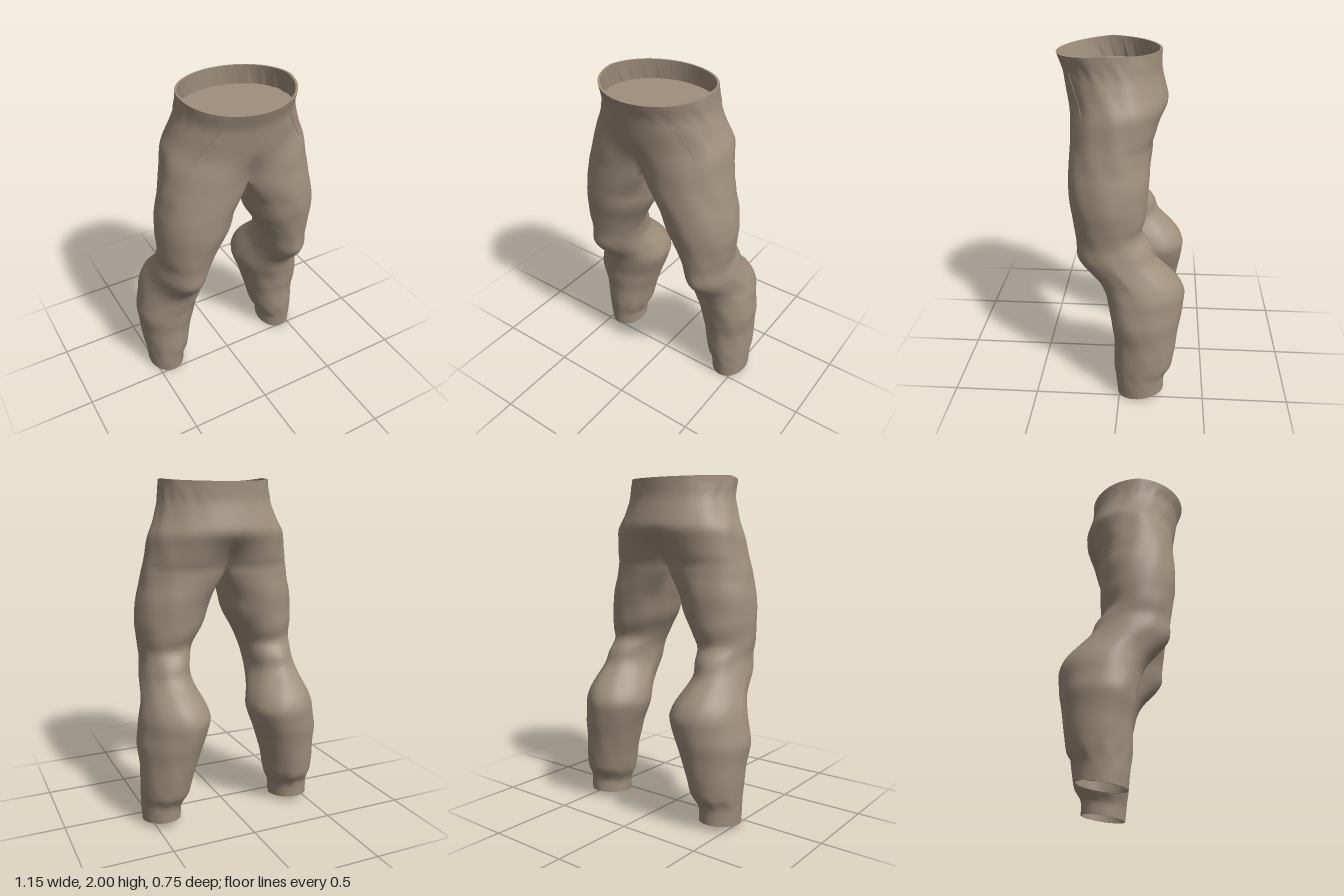
import * as THREE from 'three';
import { mergeVertices } from 'three/addons/utils/BufferGeometryUtils.js';

// Cross-sections: y, right outer x, right inner x, left outer x, left inner x, front z, back z
const SECTIONS = [
  [0.00, 0.530, 0.300, 0.555, 0.330, 0.010, -0.262],
  [0.10, 0.535, 0.298, 0.558, 0.325, 0.018, -0.265],
  [0.13, 0.538, 0.275, 0.558, 0.300, 0.022, -0.268],
  [0.19, 0.548, 0.256, 0.567, 0.282, 0.032, -0.308],
  [0.36, 0.560, 0.215, 0.562, 0.240, 0.030, -0.335],
  [0.50, 0.580, 0.170, 0.572, 0.195, 0.038, -0.368],
  [0.65, 0.550, 0.122, 0.555, 0.145, 0.072, -0.384],
  [0.72, 0.530, 0.142, 0.535, 0.162, 0.115, -0.350],
  [0.80, 0.505, 0.175, 0.520, 0.195, 0.195, -0.275],
  [0.87, 0.490, 0.192, 0.505, 0.210, 0.246, -0.205],
  [0.97, 0.475, 0.175, 0.490, 0.205, 0.250, -0.162],
  [1.02, 0.478, 0.160, 0.492, 0.190, 0.258, -0.120],
  [1.17, 0.487, 0.076, 0.512, 0.100, 0.285, -0.145],
  [1.24, 0.485, 0.040, 0.505, 0.075, 0.291, -0.152],
  [1.35, 0.477, 0.023, 0.492, 0.042, 0.298, -0.158],
  [1.50, 0.440, 0.000, 0.455, 0.000, 0.295, -0.160],
  [1.70, 0.405, 0.000, 0.420, 0.000, 0.315, -0.256],
  [1.88, 0.322, 0.000, 0.342, 0.000, 0.345, -0.210],
  [2.00, 0.320, 0.000, 0.335, 0.000, 0.380, -0.210],
];
const CROTCH = 1.5, STEP = 0.025, RINGS = 80, OUTER = 36, INNER = 14, N = OUTER + INNER;
const { lerp, smoothstep } = THREE.MathUtils;
const bump = (y, at, width) => Math.exp(-(((y - at) / width) ** 2));

function rawSection(y) {
  let i = 0;
  while (i < SECTIONS.length - 2 && y > SECTIONS[i + 1][0]) i++;
  const a = SECTIONS[i], b = SECTIONS[i + 1];
  return a.map((v, k) => lerp(v, b[k], (y - a[0]) / (b[0] - a[0])));
}

// Averages neighbouring heights so the outline bends softly
function section(y) {
  const d = Math.max(0, Math.min(0.025, y, 2 - y, Math.abs(y - CROTCH)));
  const below = rawSection(y - d), above = rawSection(y + d);
  return rawSection(y).map((v, k) => (2 * v + below[k] + above[k]) / 4);
}

// Point on the cloth. u 0..1 runs front, outside, back; u 1..2 returns along the inner leg.
function clothPoint(side, u, y) {
  const row = section(y);
  const [xo, xi] = side < 0 ? [row[1], row[2]] : [row[3], row[4]];
  const zf = row[5], zb = row[6];
  const xc = (xo + xi) / 2, rx = (xo - xi) / 2, zc = (zf + zb) / 2, rz = (zf - zb) / 2;
  const round = 1 - smoothstep(y, 1.28, CROTCH);    // 1 = full leg tube, 0 = half of the hips
  const legness = 1 - smoothstep(y, CROTCH - 0.02, 1.74);
  const inner = u > 1;
  const a = inner ? -Math.PI * (0.75 + (u - 1) / 2) : Math.PI * (0.75 - 1.5 * u);
  const ex = xc + rx * Math.cos(a);
  // Kneecap narrows towards the front, and the outer calf sits further forward
  const s = Math.sin(a);
  const knee = s > 0 ? s ** (1 + 0.45 * bump(y, 0.8, 0.1)) : s;
  const ez = zc + rz * knee + 0.05 * bump(y, 0.55, 0.2) * (0.5 + 0.5 * Math.cos(a)) ** 2;
  let dx = xi, dz;
  const t = Math.PI * (0.5 - u);
  const endZ = rz * lerp(1, Math.SQRT1_2, legness);
  if (inner) dz = zc + endZ * (2 * (u - 1) - 1);
  else {
    const end = lerp(0, xc - rx * Math.SQRT1_2, legness);
    dx = lerp(xo * Math.cos(t), ex, legness);
    dx = xi + (dx - end) * (xo - xi) / (xo - end);
    dz = lerp(zc + rz * Math.sin(t), ez, legness);
  }
  let x = lerp(dx, ex, round), z = lerp(dz, ez, round);

  // Soft diagonal folds, strongest behind the knee, plus gathers at waist and cuffs
  const p = side * 0.9;
  let f = 0.012 * Math.sin(11 * y + 2 * a + p) * Math.sin(5 * y - 3 * a + 2 * p);
  f += 0.012 * Math.sin(23 * y - 4 * a + p) * Math.sin(9 * y + 5 * a - p);
  f += 0.025 * bump(y, 1.0, 0.14) * Math.sin(38 * y + 2 * a * side) * (0.5 - 0.5 * s);
  f += 0.025 * bump(y, 0.15, 0.05) * Math.sin(9 * a + p);
  f += 0.016 * bump(y, 1.9, 0.03) * Math.sin(16 * a + p);
  f *= inner ? round : lerp(Math.sin(Math.PI * u), 1, round);
  f *= Math.min(1, y / 0.08, (2 - y) / 0.05);
  x += (x - xc * round) * f;
  z += (z - zc) * f;

  // Hem lifts at the back, waist dips at the front
  const back = (zf - z) / (zf - zb);
  let h = y + 0.04 * Math.max(0, 1 - y / 0.2) * back;
  h -= Math.max(0, (y - 1.88) / 0.12) * (0.028 * Math.max(0, 1 - 2 * back) + 0.014 * Math.max(0, 2 * back - 1));
  return new THREE.Vector3(side * x, h, z);
}

const ringU = (j) => (j <= OUTER ? j / OUTER : 1 + (j - OUTER) / INNER);

function makeGeometry(points, index) {
  const g = new THREE.BufferGeometry().setFromPoints(points);
  g.setIndex(index);
  return g;
}

function quad(index, a, b, c, d, flip) {
  if (flip) index.push(a, c, b, b, c, d);
  else index.push(a, b, c, b, d, c);
}

// Both legs and the hips as one continuous skin
function trouserSkin() {
  const points = [], index = [];
  for (const side of [-1, 1]) {
    const base = points.length;
    for (let i = 0; i <= RINGS; i++)
      for (let j = 0; j < N; j++) points.push(clothPoint(side, ringU(j), i * STEP));
    for (let i = 0; i < RINGS; i++) {
      const count = i * STEP < CROTCH - 1e-6 ? N : OUTER;
      for (let j = 0; j < count; j++) {
        const a = base + i * N + j, b = base + i * N + (j + 1) % N;
        quad(index, a, b, a + N, b + N, side < 0);
      }
    }
  }
  const g = mergeVertices(makeGeometry(points, index), 1e-4);
  g.computeVertexNormals();
  return g;
}

// Rim, short inner wall and flat closing panel that follow the cloth inside an opening
function openingLining(loopAt, rimY, panelY, flip) {
  const rim = loopAt(rimY), deep = loopAt(panelY), n = rim.length;
  const middle = (loop) => loop.reduce((s, p) => s.add(p), new THREE.Vector3()).divideScalar(n);
  const rimCenter = middle(rim), deepCenter = middle(deep);
  const inset = (loop, center, y) => loop.map((p) => center.clone().lerp(p, 0.96).setY(y ?? p.y));
  const points = [...rim, ...inset(rim, rimCenter), ...inset(deep, deepCenter, deepCenter.y), deepCenter];
  const index = [];
  for (let j = 0; j < n; j++) {
    const k = (j + 1) % n;
    for (const r of [0, n]) quad(index, r + j, r + k, r + n + j, r + n + k, flip);
    index.push(...(flip ? [2 * n + k, 2 * n + j, 3 * n] : [2 * n + j, 2 * n + k, 3 * n]));
  }
  const g = makeGeometry(points, index).toNonIndexed();
  g.computeVertexNormals();
  return g;
}

export function createModel() {
  const group = new THREE.Group();
  group.name = 'trousers';
  const cloth = new THREE.MeshStandardMaterial({ color: 0x9f8f7c, side: THREE.DoubleSide });
  cloth.name = 'tan cloth';
  const add = (name, geometry) => {
    const mesh = new THREE.Mesh(geometry, cloth);
    mesh.name = name;
    group.add(mesh);
  };

  add('trouserSkin', trouserSkin());

  // Waist opening
  const waistLoop = (y) => Array.from({ length: 2 * OUTER }, (_, j) =>
    (j < OUTER ? clothPoint(1, j / OUTER, y) : clothPoint(-1, 2 - j / OUTER, y)));
  add('waistLining', openingLining(waistLoop, 2, 1.875, false));

  for (const side of [-1, 1]) {
    const label = side < 0 ? 'right' : 'left';
    // Cuff opening
    const hemLoop = (y) => Array.from({ length: N }, (_, j) => clothPoint(side, ringU(j), y));
    add(label + 'CuffLining', openingLining(hemLoop, 0, 0.06, side > 0));
    // Slanted pocket edge
    const path = [];
    for (let k = 0; k <= 8; k++) path.push(clothPoint(side, lerp(0.21, 0.29, k / 8), lerp(1.89, 1.68, k / 8)));
    add(label + 'PocketEdge', new THREE.TubeGeometry(new THREE.CatmullRomCurve3(path), 16, 0.003, 5));
  }
  return group;
}
